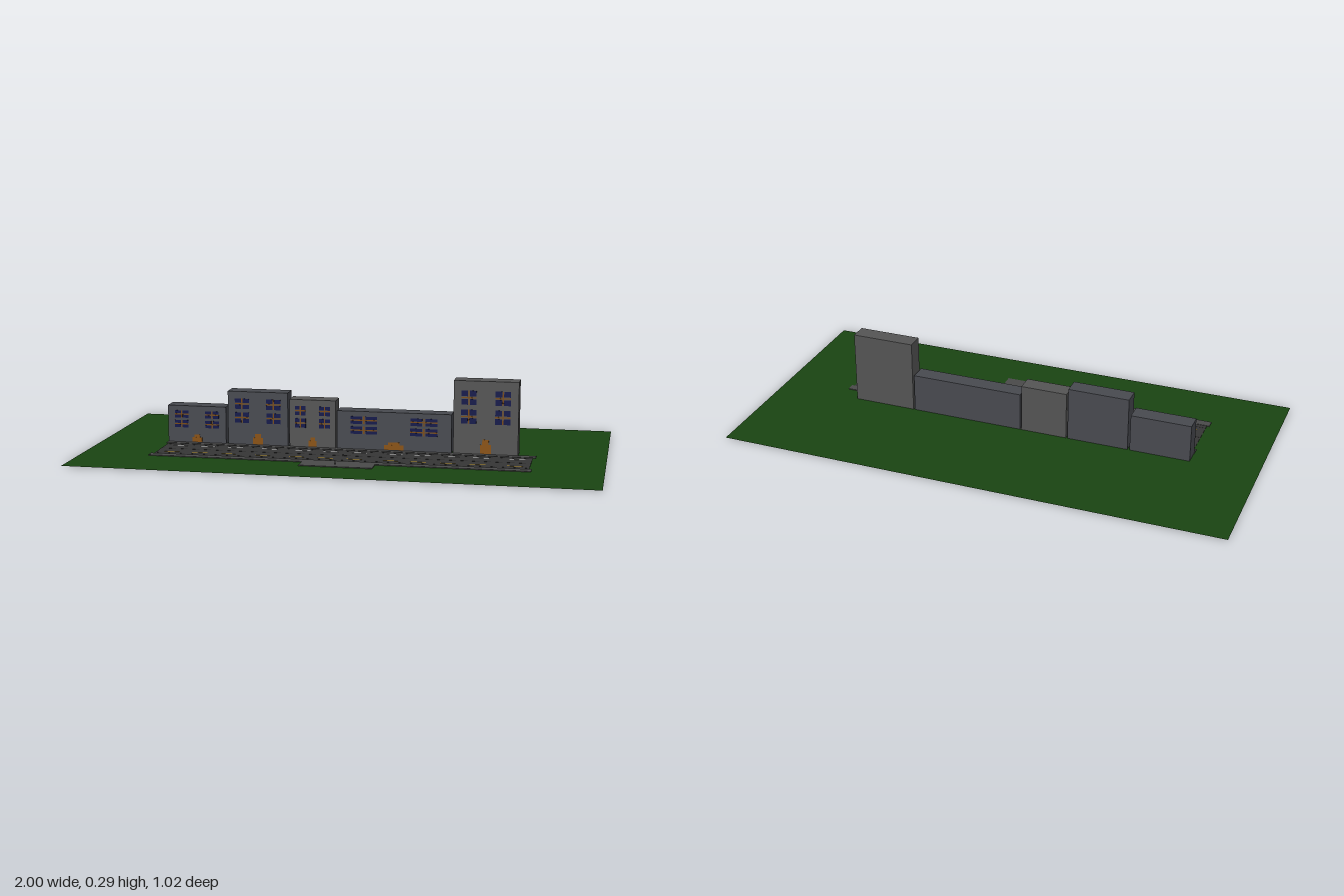
import * as THREE from 'three';

const mat = (color, side = THREE.FrontSide) => new THREE.MeshStandardMaterial({ color, side });
const M = {
  grass: mat(0x1a4512, THREE.DoubleSide), road: mat(0x363636), pavement: mat(0x4a4a4a),
  seam: mat(0x262626), white: mat(0xcccccc), yellow: mat(0xb08a20),
  blueGrey: mat(0x484a50), warmGrey: mat(0x555555),
  glass: mat(0x10164a), frame: mat(0x7a4a14), door: mat(0x8a5212),
};

// Box given by its min and max along each axis
function box(parent, name, material, [x0, x1], [y0, y1], [z0, z1]) {
  const mesh = new THREE.Mesh(new THREE.BoxGeometry(x1 - x0, y1 - y0, z1 - z0), material);
  mesh.position.set((x0 + x1) / 2, (y0 + y1) / 2, (z0 + z1) / 2);
  mesh.name = name;
  parent.add(mesh);
  return mesh;
}

const FRONT = 0.025, BACK = -0.043;

// Window of four panes with a cross-shaped frame
function addWindow(parent, cx, cy, w, h) {
  const win = new THREE.Group();
  win.name = 'window';
  const gx = w * 0.06, gy = h * 0.1;
  for (const sx of [-1, 1]) for (const sy of [-1, 1]) {
    const px = cx + sx * (w / 4 + gx / 2), py = cy + sy * (h / 4 + gy / 2);
    const hw = w / 4 - gx / 2, hh = h / 4 - gy / 2;
    box(win, 'windowPane', M.glass, [px - hw, px + hw], [py - hh, py + hh], [FRONT - 0.001, FRONT + 0.001]);
  }
  const t = 0.0022;
  box(win, 'windowMullion', M.frame, [cx - t, cx + t], [cy - h / 2, cy + h / 2], [FRONT - 0.001, FRONT + 0.0007]);
  box(win, 'windowTransom', M.frame, [cx - w / 2, cx + w / 2], [cy - t, cy + t], [FRONT - 0.001, FRONT + 0.0007]);
  parent.add(win);
}

// Building block whose windows and door scale with the facade
function addBuilding(parent, x0, x1, height, material) {
  const b = new THREE.Group();
  b.name = 'building';
  const w = x1 - x0, cx = (x0 + x1) / 2;
  box(b, 'buildingWalls', material, [x0, x1], [0.003, height], [BACK, FRONT]);
  for (const u of [0.235, 0.76]) for (const v of [0.52, 0.775])
    addWindow(b, x0 + u * w, v * height, 0.235 * w, 0.19 * height);
  const base = 0.008;
  box(b, 'door', M.door, [cx - 0.05 * w, cx + 0.05 * w], [base, base + 0.19 * height], [FRONT - 0.001, FRONT + 0.001]);
  box(b, 'doorSurround', M.door, [cx - 0.085 * w, cx + 0.085 * w], [base, base + 0.12 * height], [FRONT - 0.001, FRONT + 0.0015]);
  parent.add(b);
}

export function createModel() {
  const g = new THREE.Group();
  g.name = 'streetScene';

  // Lawn
  const lawn = new THREE.Mesh(new THREE.PlaneGeometry(2, 1.025), M.grass);
  lawn.rotation.x = -Math.PI / 2;
  lawn.position.set(0, 0.003, -0.0025);
  lawn.name = 'lawn';
  g.add(lawn);

  // Road with central seam and edge grooves
  box(g, 'road', M.road, [-0.725, 0.722], [0.0015, 0.0045], [0.048, 0.245]);
  box(g, 'centreSeam', M.seam, [-0.725, 0.722], [0.004, 0.005], [0.144, 0.147]);
  for (const z of [0.066, 0.224])
    box(g, 'edgeGroove', M.seam, [-0.725, 0.722], [0.004, 0.0048], [z - 0.001, z + 0.001]);

  // Lane dashes
  for (const x of [-0.665, -0.553, -0.44, -0.302, -0.168, -0.056, 0.056, 0.195, 0.302, 0.414, 0.527, 0.666]) {
    box(g, 'whiteDash', M.white, [x - 0.03, x + 0.03], [0.004, 0.0052], [0.086, 0.091]);
    box(g, 'yellowDash', M.yellow, [x - 0.03, x + 0.03], [0.004, 0.0052], [0.198, 0.203]);
  }

  // Pavements and the wider pads beside them
  box(g, 'backPavement', M.pavement, [-0.735, 0.732], [0, 0.006], [0.018, 0.05]);
  box(g, 'frontPavement', M.pavement, [-0.735, 0.732], [0, 0.006], [0.243, 0.278]);
  box(g, 'frontPad', M.pavement, [-0.13, 0.15], [0, 0.006], [0.278, 0.34]);
  box(g, 'backPad', M.pavement, [-0.13, 0.15], [0, 0.006], [-0.042, 0.018]);

  // Small posts on the pad and at mid road
  box(g, 'padPost', M.pavement, [0.001, 0.005], [0.005, 0.021], [0.3, 0.304]);
  box(g, 'roadPost', M.pavement, [0.001, 0.004], [0.004, 0.012], [0.15, 0.152]);

  // Row of buildings
  for (const [x0, x1, h, m] of [
    [-0.733, -0.495, 0.153, M.blueGrey],
    [-0.486, -0.243, 0.218, M.blueGrey],
    [-0.236, -0.051, 0.194, M.warmGrey],
    [-0.045, 0.405, 0.156, M.blueGrey],
    [0.412, 0.662, 0.291, M.warmGrey],
  ]) addBuilding(g, x0, x1, h, m);

  return g;
}
